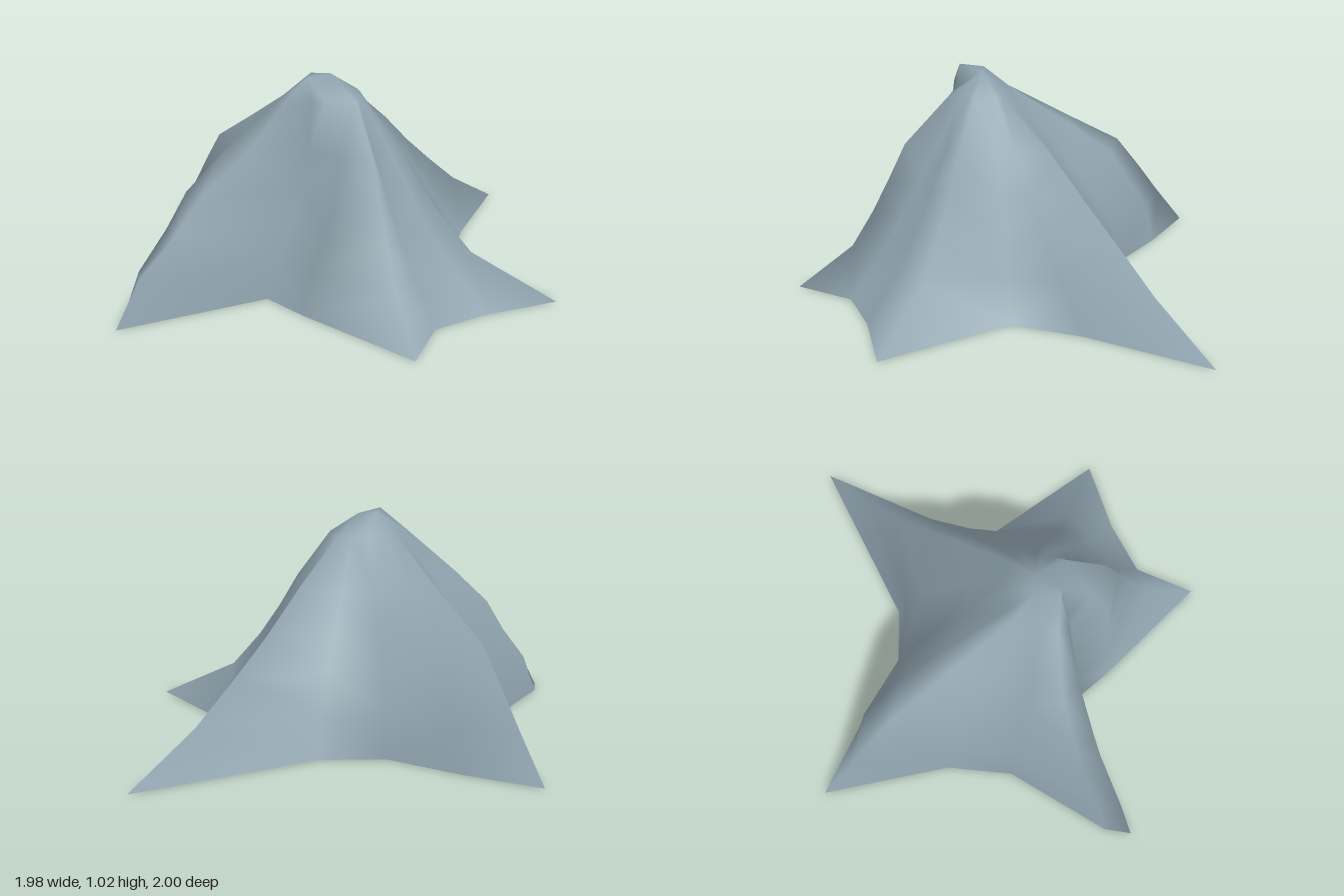
import * as THREE from 'three';

// Heights of the contour rings, from the foot to the shoulder
const LEVELS = [0, 0.2, 0.37, 0.53, 0.7, 0.92];

// One rib per row: foot x, z; shoulder x, z; how far the rib has run in at
// each ring between; and optionally a sideways bulge x, z
const RIBS = [
  // front right spur and the gully beside it
  [-0.99, 0.74, -0.26, 0.34, 0.13, 0.34, 0.49, 0.76, 0, -0.05],
  [-0.35, 0.41, -0.14, 0.30, 0.25, 0.55, 0.80, 0.92],
  // front spur
  [-0.18, 0.58, -0.08, 0.30, 0.10, 0.25, 0.38, 0.68, 0.12, 0.06],
  [0.31, 1.00, 0.06, 0.30, 0.36, 0.50, 0.61, 0.72, 0.01, 0],
  [0.41, 0.71, 0.07, 0.25, 0.27, 0.47, 0.64, 0.81],
  // left spur
  [0.65, 0.56, 0.08, 0.20, 0.30, 0.48, 0.62, 0.78],
  [0.985, 0.42, 0.08, 0.17, 0.43, 0.59, 0.71, 0.82],
  [0.55, -0.08, 0.07, 0.10, 0.14, 0.32, 0.49, 0.70],
  // back left spur
  [0.61, -0.42, 0.06, 0.07, 0.22, 0.40, 0.56, 0.75],
  [0.82, -1.00, 0.03, 0.05, 0.26, 0.43, 0.59, 0.75, -0.04, 0],
  [0.06, -0.53, -0.04, 0.03, 0.09, 0.27, 0.46, 0.69],
  // back right spur
  [-0.24, -0.50, -0.12, 0.04, 0.06, 0.24, 0.44, 0.67],
  [-0.57, -0.66, -0.20, 0.06, 0.06, 0.20, 0.33, 0.61],
  [-0.92, -0.79, -0.24, 0.09, 0.15, 0.27, 0.39, 0.66],
  // right flank
  [-0.74, -0.19, -0.27, 0.17, 0.07, 0.23, 0.40, 0.67],
  [-0.745, 0.13, -0.28, 0.23, 0.11, 0.28, 0.44, 0.68],
  [-0.98, 0.61, -0.29, 0.29, 0.10, 0.27, 0.40, 0.64, 0, -0.07],
];

// Small three-cornered summit, and the corner each rib runs up to
const SUMMIT = [[-0.16, 1.025, 0.29], [-0.06, 1.015, 0.16], [-0.15, 1.02, 0.17]];
const SUMMIT_OF_RIB = [0, 0, 0, 1, 1, 1, 1, 1, 1, 1, 1, 2, 2, 2, 2, 2, 0];

function slopeGeometry() {
  const n = RIBS.length;
  const points = [];
  const index = [];

  // Contour rings
  LEVELS.forEach((y, k) => {
    for (const [x0, z0, x1, z1, a, b, c, d, bx = 0, bz = 0] of RIBS) {
      const t = [0, a, b, c, d, 1][k];
      const bulge = Math.sin(Math.PI * t);
      points.push(new THREE.Vector3(x0 + (x1 - x0) * t + bx * bulge, y, z0 + (z1 - z0) * t + bz * bulge));
    }
  });
  const summit = points.length;
  SUMMIT.forEach((p) => points.push(new THREE.Vector3(...p)));

  // Slopes between neighbouring rings, each quad split along its shorter diagonal
  for (let k = 0; k < LEVELS.length - 1; k++) {
    for (let i = 0; i < n; i++) {
      const a = k * n + i, b = k * n + (i + 1) % n, c = b + n, d = a + n;
      if (points[a].distanceTo(points[c]) < points[b].distanceTo(points[d])) {
        index.push(a, b, c, a, c, d);
      } else {
        index.push(a, b, d, b, c, d);
      }
    }
  }

  // Shoulder up to the summit corners, then the summit itself
  const top = (LEVELS.length - 1) * n;
  for (let i = 0; i < n; i++) {
    const j = (i + 1) % n;
    const p = summit + SUMMIT_OF_RIB[i], q = summit + SUMMIT_OF_RIB[j];
    index.push(top + i, top + j, q);
    if (p !== q) index.push(top + i, q, p);
  }
  index.push(summit, summit + 1, summit + 2);

  const geometry = new THREE.BufferGeometry().setFromPoints(points);
  geometry.setIndex(index);
  geometry.computeVertexNormals();
  return geometry;
}

export function createModel() {
  const group = new THREE.Group();
  group.name = 'mountain';

  // Open shell, hollow underneath
  const slopes = new THREE.Mesh(
    slopeGeometry(),
    new THREE.MeshStandardMaterial({ color: 0x8fa3ae, side: THREE.DoubleSide })
  );
  slopes.name = 'slopes';
  group.add(slopes);
  return group;
}
